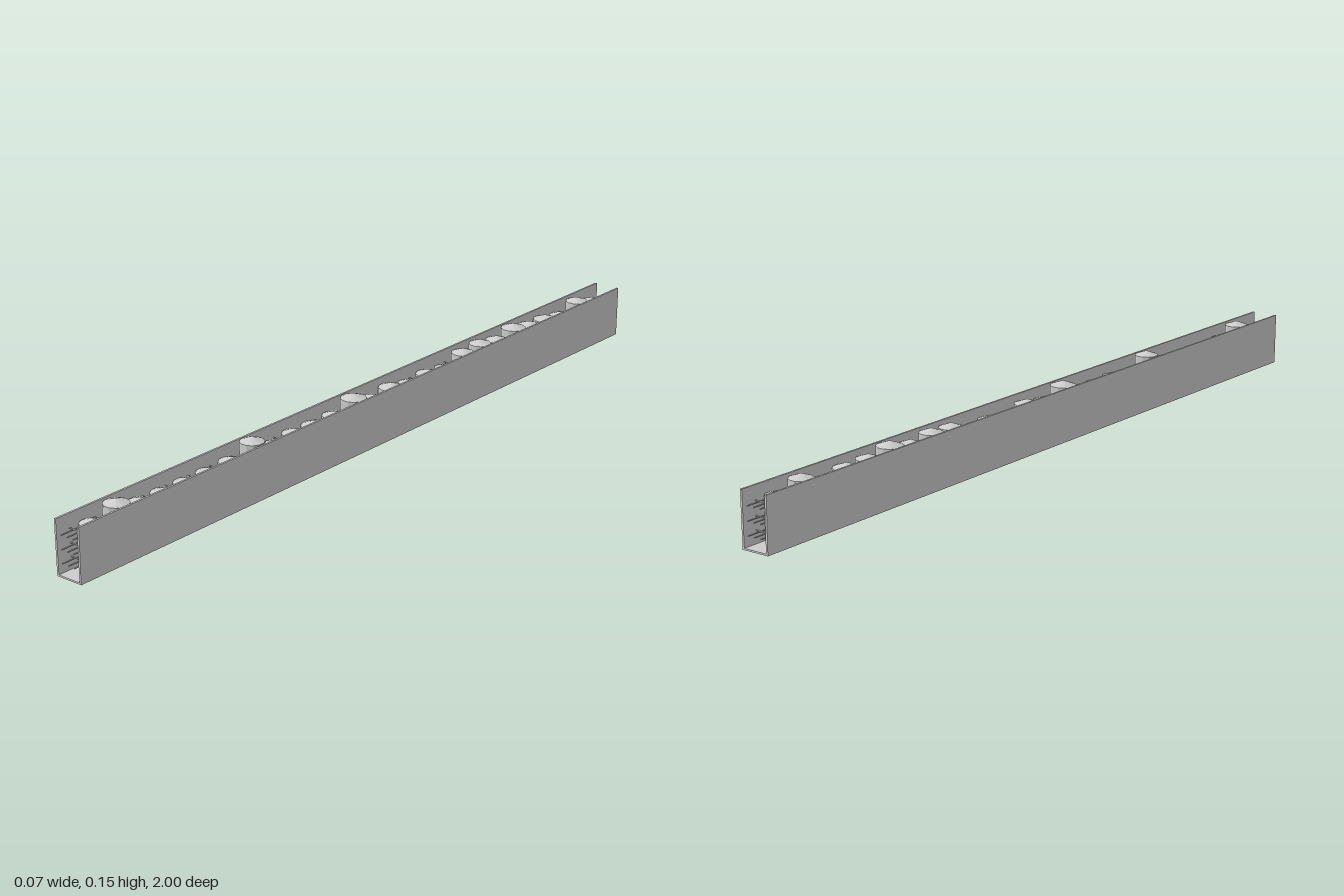
import * as THREE from 'three';

export function createModel() {
  const model = new THREE.Group();
  const mat = new THREE.MeshStandardMaterial({ color: 0xcccccc, flatShading: true });
  const add = (name, geo, x = 0, y = 0, z = 0, parent = model) => {
    const mesh = new THREE.Mesh(geo, mat);
    mesh.name = name;
    mesh.position.set(x, y, z);
    parent.add(mesh);
    return mesh;
  };

  // Long side walls, leaning out very slightly, and the floor between them
  for (const s of [-1, 1]) {
    const wall = new THREE.BoxGeometry(0.005, 0.131, 2);
    const p = wall.attributes.position;
    for (let i = 0; i < p.count; i++) p.setX(i, p.getX(i) + (p.getY(i) > 0 ? s * 0.0007 : -s * 0.0005));
    wall.computeVertexNormals();
    add(s > 0 ? 'leftWall' : 'rightWall', wall, s * 0.0333, 0.0775, 0);
  }
  add('floor', new THREE.BoxGeometry(0.069, 0.004, 2), 0, 0.014, 0);

  // Row of pointed floats, each resting at its own height
  const floats = new THREE.Group();
  floats.name = 'floats';
  model.add(floats);
  const bottoms = [5, 27, 5, 3, 3, 3, 6, 31, 0, 6, 4, 6, 29, 6, 14, 2, 7, 0, 21, 25, 15, 29, 16, 14, 4, 25, 6];
  const pitch = 0.0713;
  bottoms.forEach((b, i) => {
    const r = 0.0285 + (b % 5) * 0.0008;
    const cone = r * 0.36;
    const h = 0.123;
    const profile = [[0, 0], [r, cone], [r, h - cone], [0, h]].map(([x, y]) => new THREE.Vector2(x, y));
    const body = add('float', new THREE.LatheGeometry(profile, 12), 0, b / 1000, (13 - i) * pitch, floats);
    body.rotation.y = Math.PI / 12;
  });

  // Thin wires running the whole length
  const wires = new THREE.Group();
  wires.name = 'wires';
  model.add(wires);
  const wireGeo = new THREE.CylinderGeometry(0.0018, 0.0018, 2, 6).rotateX(Math.PI / 2);
  for (const y of [0.045, 0.077, 0.11]) {
    for (const x of [-0.018, 0, 0.018]) add('wire', wireGeo, x, y, 0, wires);
  }

  // Cross rods joining the walls between the floats
  const rods = new THREE.Group();
  rods.name = 'crossRods';
  model.add(rods);
  const rodGeo = new THREE.CylinderGeometry(0.0015, 0.0015, 0.064, 6).rotateZ(Math.PI / 2);
  for (let i = 0; i < 28; i++) {
    for (const y of [0.045, 0.077, 0.11]) add('crossRod', rodGeo, 0, y, (13.5 - i) * pitch, rods);
  }
  return model;
}
